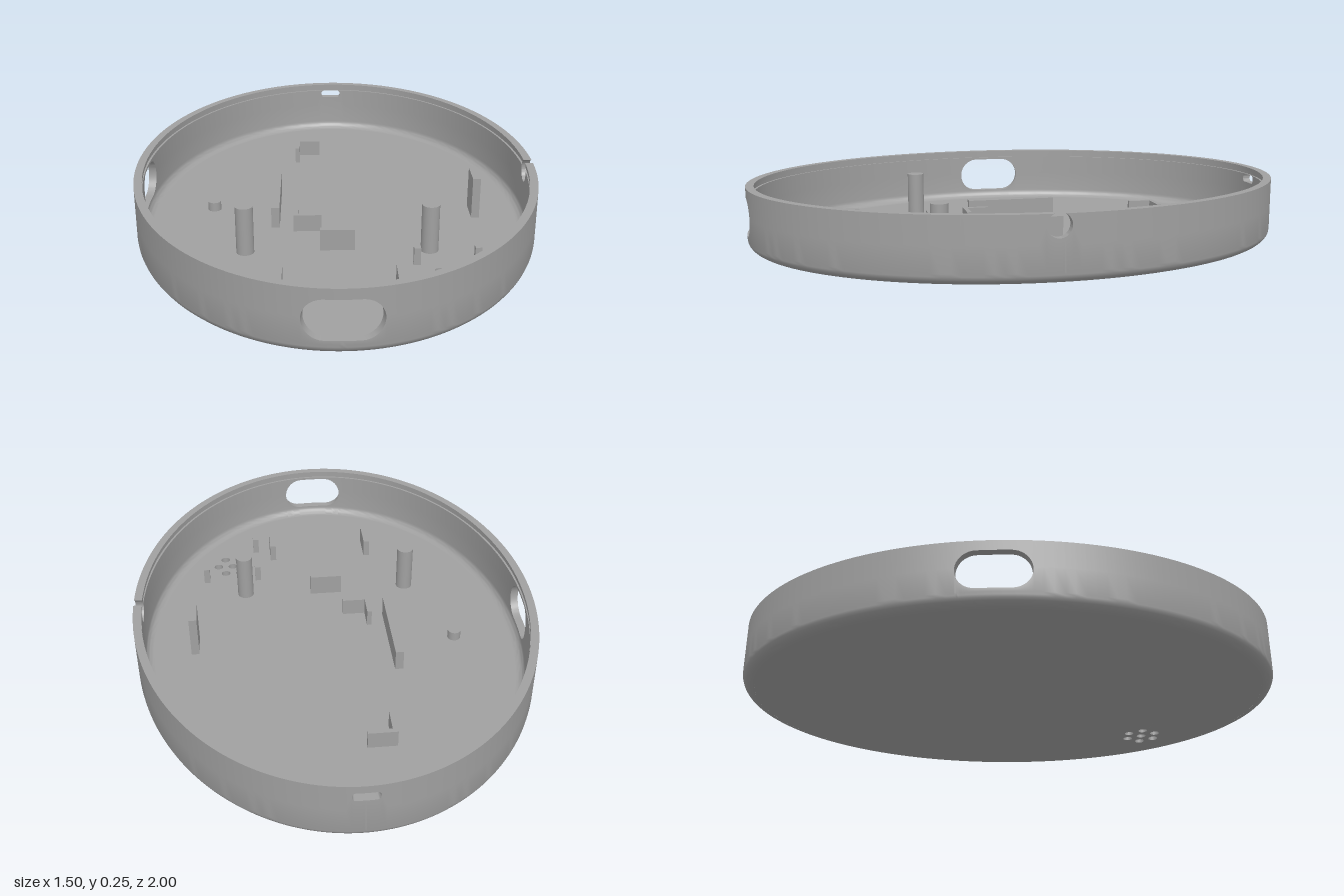
import * as THREE from 'three';
import { toCreasedNormals } from 'three/addons/utils/BufferGeometryUtils.js';

const RX = 0.75, RZ = 1, TOP = 0.25, WALL = 0.03, FLOOR = 0.04;
const TAU = Math.PI * 2;

// Point on the oval plan, moved inward by off
function plan(t, off) {
  const nx = Math.cos(t) / RX, nz = Math.sin(t) / RZ, l = Math.hypot(nx, nz);
  return [RX * Math.cos(t) - off * nx / l, RZ * Math.sin(t) - off * nz / l];
}

// Wall openings: angle, semi-axis along the wall, half width, half height, corner radius, height
const openings = [
  { c: 0.02, semi: RZ, hw: 0.042, hh: 0.042, r: 0.042, y: 0.212 },
  { c: Math.PI / 2, semi: RX, hw: 0.128, hh: 0.07, r: 0.07, y: 0.143 },
  { c: Math.PI + 0.04, semi: RZ, hw: 0.128, hh: 0.07, r: 0.07, y: 0.143 },
  { c: Math.PI * 1.5, semi: RX, hw: 0.045, hh: 0.016, r: 0.012, y: 0.205 },
];

// Columns around the wall, each with an open span from lo to hi
function wallColumns() {
  const cols = [], n = 32;
  for (let i = 0; i <= 180; i++) {
    const t = -Math.PI / 4 + i / 180 * TAU;
    if (!openings.some(o => Math.abs(t - o.c) <= Math.asin(o.hw / o.semi) + 0.004)) {
      cols.push({ t, lo: 0.15, hi: 0.15 });
    }
  }
  for (const o of openings) {
    const edge = Math.asin(o.hw / o.semi);
    cols.push({ t: o.c - edge, lo: o.y, hi: o.y });
    for (let k = 0; k <= n; k++) {
      const d = -o.hw * Math.cos(Math.PI * k / n);
      const e = Math.max(0, Math.abs(d) - (o.hw - o.r));
      const h = o.hh - o.r + Math.sqrt(Math.max(0, o.r * o.r - e * e));
      cols.push({ t: o.c + Math.asin(d / o.semi), lo: o.y - h, hi: Math.min(TOP, o.y + h) });
    }
    cols.push({ t: o.c + edge, lo: o.y, hi: o.y });
  }
  return cols.sort((a, b) => a.t - b.t);
}

// Profile below the openings: outer fillet, outer wall, inner wall, inner fillet
function lowerProfile({ lo }) {
  const p = [], n = 7;
  for (let k = 0; k <= n; k++) {
    const a = k / n * Math.PI / 2;
    p.push([0.045 * (1 - Math.sin(a)), 0.018 + 0.042 * (1 - Math.cos(a))]);
  }
  p.push([0, lo], [WALL, lo]);
  for (let k = 0; k <= n; k++) {
    const a = k / n * Math.PI / 2;
    p.push([WALL + 0.03 * (1 - Math.cos(a)), FLOOR + 0.03 * (1 - Math.sin(a))]);
  }
  return p;
}

// Profile above the openings: outer wall, rim, snap groove, inner wall
function upperProfile({ hi }) {
  const a = Math.max(0.236, hi), b = Math.max(0.222, hi), g = WALL - 0.008;
  return [[0, hi], [0, TOP], [WALL, TOP], [WALL, a], [g, a], [g, b], [WALL, b], [WALL, hi], [0, hi]];
}

function wallGeometry() {
  const pos = [], cols = wallColumns();
  const tri = (...v) => {
    const [a, b, c] = v.map(q => new THREE.Vector3(...q));
    if (b.clone().sub(a).cross(c.clone().sub(a)).length() > 1e-10) v.forEach(q => pos.push(...q));
  };
  const loft = (profile, cutEdge, skip) => {
    for (let i = 0; i < cols.length - 1; i++) {
      const A = cols[i], B = cols[i + 1];
      if (skip(A) && skip(B)) continue;
      const closed = A.lo === A.hi && B.lo === B.hi;
      const ring = c => profile(c).map(([off, y]) => {
        const [x, z] = plan(c.t, off);
        return [x, y, z];
      });
      const p = ring(A), q = ring(B);
      for (let j = 0; j < p.length - 1; j++) {
        if (closed && j === cutEdge) continue;
        tri(p[j], p[j + 1], q[j + 1]);
        tri(p[j], q[j + 1], q[j]);
      }
    }
  };
  loft(lowerProfile, 8, () => false);
  loft(upperProfile, 7, c => c.hi >= TOP - 1e-9);
  const g = new THREE.BufferGeometry();
  g.setAttribute('position', new THREE.Float32BufferAttribute(pos, 3));
  return toCreasedNormals(g, 0.6);
}

// Speaker hole centres
const grille = [[0.38, 0.55]];
for (let k = 0; k < 6; k++) {
  const a = k * Math.PI / 3;
  grille.push([0.38 + 0.06 * Math.cos(a), 0.55 + 0.06 * Math.sin(a)]);
}
const HOLE = 0.018;

// Oval sheet with the speaker holes; sign -1 mirrors z for upward faces
function sheet(off, sign, coreScale) {
  const pts = [];
  for (let i = 0; i < 180; i++) {
    const [x, z] = plan(i / 180 * TAU, off);
    pts.push(new THREE.Vector2(x, z * sign));
  }
  const s = new THREE.Shape(pts);
  for (const [x, z] of grille) s.holes.push(new THREE.Path().absarc(x, z * sign, HOLE, 0, TAU, true));
  if (coreScale) {
    s.holes.push(new THREE.Path().absellipse(0, 0, RX * coreScale, RZ * coreScale, 0, TAU, true));
  }
  return new THREE.ShapeGeometry(s, 24).rotateX(sign * Math.PI / 2);
}

// Gives a flat underside its shallow dome
function dome(g) {
  const p = g.attributes.position;
  for (let i = 0; i < p.count; i++) {
    p.setY(i, 0.02 * ((p.getX(i) / RX) ** 2 + (p.getZ(i) / RZ) ** 2));
  }
  g.computeVertexNormals();
  return g;
}

export function createModel() {
  const model = new THREE.Group();
  model.name = 'ovalEnclosure';
  const grey = new THREE.MeshStandardMaterial({ color: 0xa0a0a0, side: THREE.DoubleSide });
  grey.name = 'plasticGrey';
  const add = (name, geometry) => {
    const m = new THREE.Mesh(geometry, grey);
    m.name = name;
    model.add(m);
    return m;
  };

  // Shell
  add('wall', wallGeometry());
  add('floor', sheet(0.05, -1).translate(0, FLOOR, 0));
  add('undersideEdge', dome(sheet(0.045, 1, 0.6)));
  const core = new THREE.RingGeometry(0, 0.6, 24 * 4, 5).scale(RX, RZ, 1).rotateX(Math.PI / 2);
  add('undersideCore', dome(core));
  for (const [x, z] of grille) {
    add('speakerHole', new THREE.CylinderGeometry(HOLE, HOLE, FLOOR - 0.011, 24, 1, true))
      .position.set(x, (FLOOR + 0.011) / 2, z);
  }

  // Upright parts standing on the floor
  const base = FLOOR - 0.005;
  const box = (name, x0, x1, z0, z1, top) =>
    add(name, new THREE.BoxGeometry(x1 - x0, top - base, z1 - z0))
      .position.set((x0 + x1) / 2, (top + base) / 2, (z0 + z1) / 2);
  const post = (name, x, z, r, top) =>
    add(name, new THREE.CylinderGeometry(r, r, top - base, 32)).position.set(x, (top + base) / 2, z);

  for (const s of [-1, 1]) {
    post('screwPost', s * 0.33, 0.34, 0.032, 0.22);
    box('batteryRib', s * 0.203 - 0.012, s * 0.203 + 0.012, 0.58, 0.7, 0.11);
  }
  post('locatingPin', -0.47, -0.035, 0.025, 0.075);
  box('longRib', -0.243, -0.212, -0.21, 0.14, 0.12);
  box('crossRib', -0.063, 0.063, 0.312, 0.335, 0.12);
  box('sideRib', 0.52, 0.55, -0.045, 0.068, 0.2);

  // Corner brackets
  box('bracketArm', -0.16, -0.055, -0.62, -0.602, 0.105);
  box('bracketArm', -0.16, -0.142, -0.602, -0.515, 0.105);
  box('bracketArm', -0.16, -0.055, 0.157, 0.175, 0.105);
  box('bracketArm', -0.16, -0.142, 0.075, 0.157, 0.105);

  // Square pegs around the speaker holes
  for (const [x, z] of [[0.275, 0.445], [0.488, 0.445], [0.275, 0.66]]) {
    box('speakerPeg', x - 0.012, x + 0.012, z - 0.012, z + 0.012, 0.105);
  }
  return model;
}
